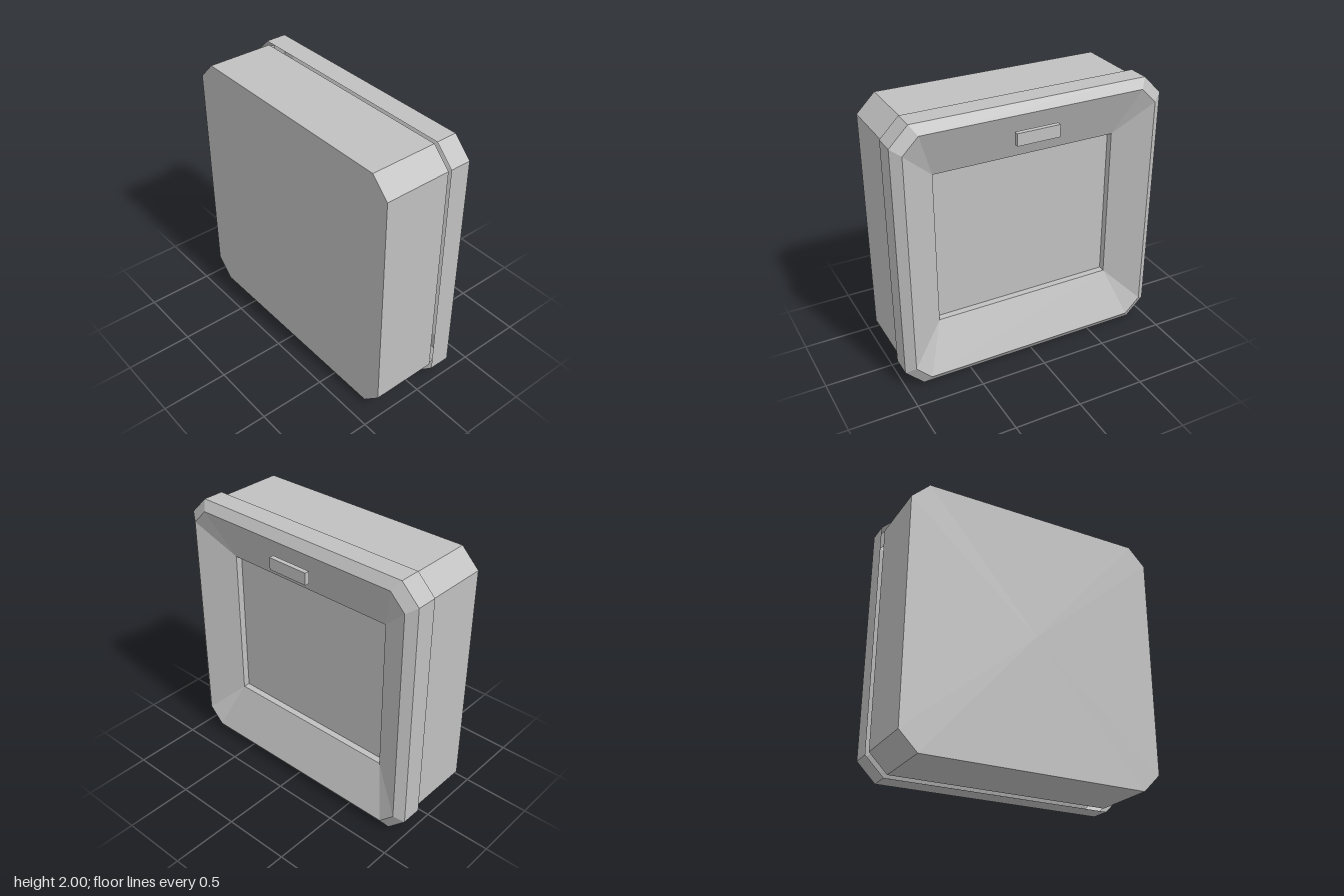
import * as THREE from 'three';

const CY = 1; // height of the centre line

// Eight-cornered ring (counter-clockwise seen from +z): half width w, half height h,
// straight runs ending at cw and ch, at depth z.
function ring(w, h, cw, ch, z) {
  return [
    [w, -ch], [w, ch], [cw, h], [-cw, h],
    [-w, ch], [-w, -ch], [-cw, -h], [cw, -h],
  ].map(([x, y]) => new THREE.Vector3(x, CY + y, z));
}
const octagon = (r, c, z) => ring(r, r, c, c, z);
const rectangle = (w, h, z) => ring(w, h, w, h, z);
const centre = (z) => ring(0, 0, 0, 0, z);

// Faceted surface through consecutive rings; collapsed triangles are skipped.
function loft(rings) {
  const points = [];
  const tri = (a, b, c) => {
    const area = b.clone().sub(a).cross(c.clone().sub(a)).length();
    if (area > 1e-6) points.push(a, b, c);
  };
  for (let k = 0; k < rings.length - 1; k++) {
    const a = rings[k], b = rings[k + 1];
    for (let i = 0; i < 8; i++) {
      const j = (i + 1) % 8;
      tri(a[i], a[j], b[j]);
      tri(a[i], b[j], b[i]);
    }
  }
  const geometry = new THREE.BufferGeometry().setFromPoints(points);
  geometry.computeVertexNormals();
  return geometry;
}

export function createModel() {
  const group = new THREE.Group();
  const grey = new THREE.MeshStandardMaterial({ color: 0xc0c0c0, side: THREE.DoubleSide });
  grey.name = 'plain grey';

  const add = (name, geometry) => {
    const mesh = new THREE.Mesh(geometry, grey);
    mesh.name = name;
    group.add(mesh);
    return mesh;
  };

  const lip = octagon(0.933, 0.82, -0.335);
  const opening = rectangle(0.684, 0.575, -0.19);
  const panelEdge = rectangle(0.684, 0.575, -0.14);

  // Front shell: side walls and closed front face
  add('body', loft([octagon(0.977, 0.843, -0.13), octagon(0.977, 0.843, 0.367), centre(0.367)]));

  // Slightly wider rear band with a chamfered edge, open towards the front
  add('rim', loft([lip, octagon(1, 0.865, -0.287), octagon(1, 0.865, -0.13)]));

  // Sloping walls from the rim down to the rectangular opening
  add('recess', loft([opening, lip]));

  // Short step and flat panel at the bottom of the recess
  add('panelStep', loft([panelEdge, opening]));
  add('backPanel', loft([centre(-0.14), panelEdge]));

  // Small plate near the top of the recess
  add('tab', new THREE.BoxGeometry(0.32, 0.09, 0.035)).position.set(0, 1.778, -0.35);

  return group;
}
